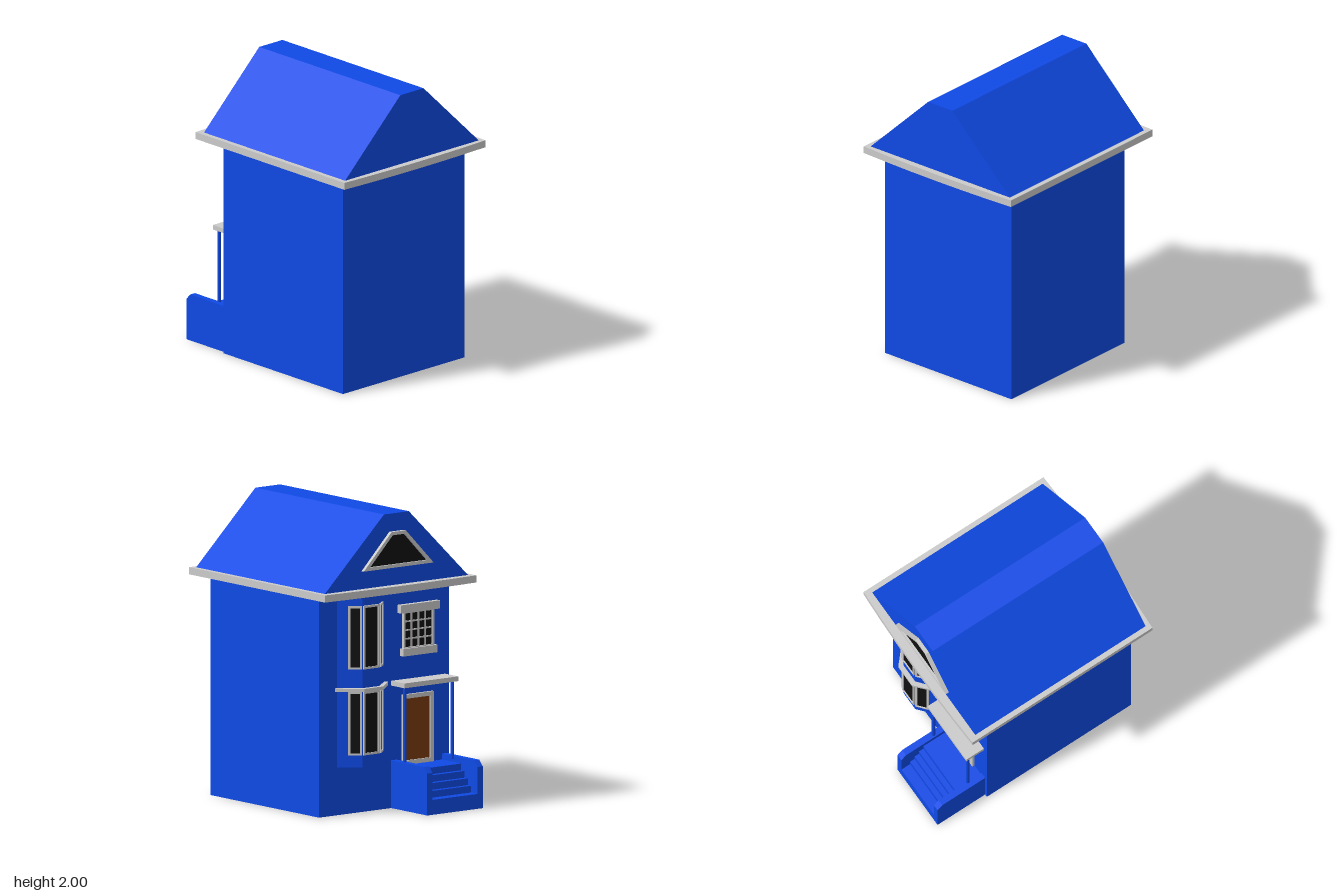
import * as THREE from 'three';

const mat = (color) => new THREE.MeshStandardMaterial({ color });
const BLUE = mat(0x0f4ae6), GREY = mat(0xcccccc), GLASS = mat(0x111111), WOOD = mat(0x7a3c10);

export function createModel() {
  const house = new THREE.Group();
  house.name = 'house';

  const add = (name, geometry, material, parent = house) => {
    const mesh = new THREE.Mesh(geometry, material);
    mesh.name = name;
    parent.add(mesh);
    return mesh;
  };
  const shapeOf = (pts) => new THREE.Shape(pts.map(([x, y]) => new THREE.Vector2(x, y)));
  const extrude = (shape, depth) => new THREE.ExtrudeGeometry(shape, { depth, bevelEnabled: false });

  // box given by its limits
  const box = (name, x0, x1, y0, y1, z0, z1, material, parent) =>
    add(name, new THREE.BoxGeometry(x1 - x0, y1 - y0, z1 - z0)
      .translate((x0 + x1) / 2, (y0 + y1) / 2, (z0 + z1) / 2), material, parent);

  // upright prism from a plan of [x, z] points
  const plan = (name, pts, y0, y1, material) =>
    add(name, extrude(shapeOf(pts.map(([x, z]) => [x, -z])), y1 - y0)
      .rotateX(-Math.PI / 2).translate(0, y0, 0), material);

  // side profile of [z, y] points extruded across x
  const profile = (name, pts, x0, x1, material) =>
    add(name, extrude(shapeOf(pts.map(([z, y]) => [-z, y])), x1 - x0)
      .rotateY(Math.PI / 2).translate(x0, 0, 0), material);

  // pane with a raised frame, facing local +z
  const framed = (name, outer, inner, depth, x, y, z, angle, pane = GLASS) => {
    const group = new THREE.Group();
    group.name = name;
    const ring = shapeOf(outer);
    ring.holes.push(shapeOf(inner));
    add('frame', extrude(ring, depth), GREY, group);
    add('pane', extrude(shapeOf(inner), depth * 0.4), pane, group);
    group.position.set(x, y, z);
    group.rotation.y = angle;
    house.add(group);
    return group;
  };
  const rect = (w, h) => [[-w / 2, -h / 2], [w / 2, -h / 2], [w / 2, h / 2], [-w / 2, h / 2]];
  const rectWindow = (name, w, h, border, ...rest) =>
    framed(name, rect(w, h), rect(w - 2 * border, h - 2 * border), ...rest);

  // walls
  box('walls', -0.55, 0.55, 0, 1.48, -0.45, 0.7, BLUE);

  // eaves slab, its front and back edges slightly bowed
  const bow = [];
  for (let i = 0; i <= 6; i++) {
    const t = -1 + i / 3;
    bow.push([0.64 * t, 0.81 + 0.017 * (1 - t * t)]);
  }
  plan('eaves', [...bow, ...bow.map(([x, z]) => [-x, 0.185 - z])], 1.472, 1.52, GREY);

  // flat-topped roof
  add('roof', extrude(shapeOf([[-0.605, 1.52], [0.605, 1.52], [0.105, 2], [-0.105, 2]]), 1.36)
    .translate(0, 0, -0.58), BLUE);

  // gable window
  framed('gableWindow',
    [[-0.295, 1.64], [0.295, 1.64], [0.06, 1.88], [-0.06, 1.88]],
    [[-0.242, 1.662], [0.242, 1.662], [0.051, 1.858], [-0.051, 1.858]],
    0.025, 0, 0, -0.58, Math.PI);

  // two-storey bay with a moulding between the storeys
  plan('bay', [[0.4, -0.44], [0.4, -0.45], [0.27, -0.56], [0.13, -0.56], [0, -0.45], [0, -0.44]], 0.32, 1.475, BLUE);
  plan('bayMoulding', [[0.4, -0.44], [0.425, -0.462], [0.281, -0.592], [0.119, -0.592], [-0.025, -0.462], [0, -0.44]],
    0.83, 0.852, GREY);
  const slant = Math.atan2(0.11, -0.13);
  for (const y of [0.615, 1.19]) {
    rectWindow('bayFrontWindow', 0.135, 0.425, 0.014, 0.012, 0.2, y, -0.56, Math.PI);
    for (const s of [-1, 1])
      rectWindow('baySideWindow', 0.092, 0.425, 0.014, 0.012, 0.2 + s * 0.107, y, -0.529, s * slant);
  }

  // upper window with lintel, sill and glazing bars
  const upper = rectWindow('upperWindow', 0.26, 0.26, 0.016, 0.02, -0.28, 1.18, -0.45, Math.PI);
  for (let i = -1; i <= 1; i++) {
    box('glazingBar', i * 0.058 - 0.005, i * 0.058 + 0.005, -0.115, 0.115, 0, 0.015, GREY, upper);
    box('glazingBar', -0.115, 0.115, i * 0.058 - 0.005, i * 0.058 + 0.005, 0, 0.014, GREY, upper);
  }
  box('lintel', -0.445, -0.115, 1.3, 1.355, -0.485, -0.45, GREY);
  box('sill', -0.425, -0.135, 1.01, 1.06, -0.485, -0.45, GREY);

  // door
  rectWindow('door', 0.26, 0.47, 0.028, 0.018, -0.275, 0.515, -0.45, Math.PI, WOOD);

  // stair with landing
  const steps = [[-0.44, 0]];
  [-0.83, -0.76, -0.725, -0.69, -0.655].forEach((z, i) =>
    steps.push([z, i ? 0.055 + i * 0.045 : 0], [z, 0.1 + i * 0.045]));
  steps.push([-0.44, 0.28]);
  profile('steps', steps, -0.487, -0.105, BLUE);

  // stair side walls and porch posts
  for (const [x0, x1, post] of [[-0.53, -0.487, -0.487], [-0.105, -0.06, -0.085]]) {
    profile('stairWall', [[-0.44, 0], [-0.83, 0], [-0.83, 0.28], [-0.793, 0.32], [-0.44, 0.32]], x0, x1, BLUE);
    add('porchPost', new THREE.CylinderGeometry(0.012, 0.012, 0.54, 12).translate(post, 0.57, -0.56), BLUE);
  }

  // porch canopy
  box('canopy', -0.515, -0.06, 0.82, 0.852, -0.59, -0.44, GREY);

  return house;
}
